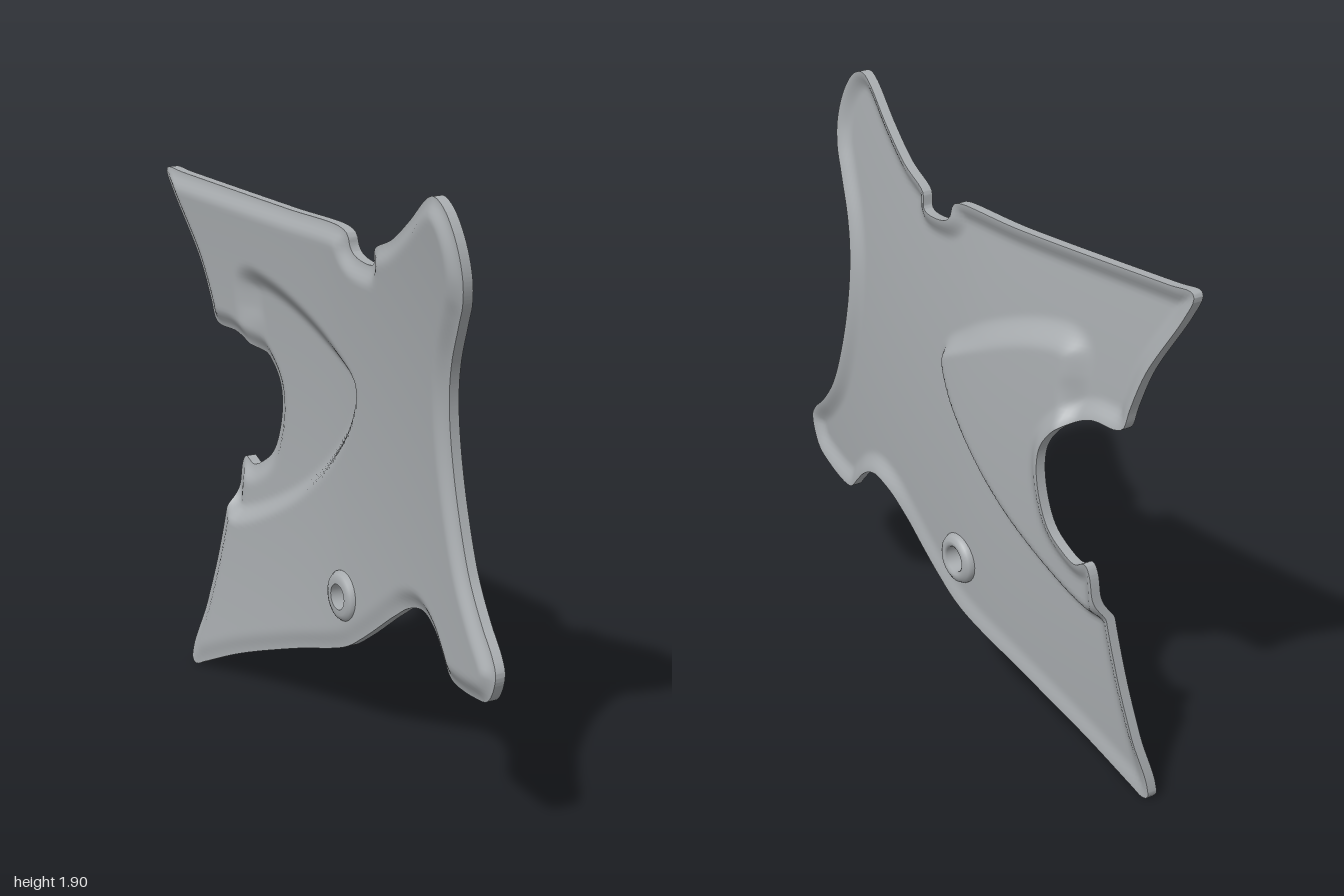
import * as THREE from 'three';
import { mergeVertices } from 'three/addons/utils/BufferGeometryUtils.js';

const THICKNESS = 0.033;
const HOLE = { z: -0.01, y: 0.49, r: 0.045 };
const smooth = THREE.MathUtils.smoothstep;

// Closed smooth loop through [z, y] pairs, returned as evenly spaced points (u = -z, y)
function loop(pairs, count) {
  const pts = pairs.map(([z, y]) => new THREE.Vector3(-z, y, 0));
  const curve = new THREE.CatmullRomCurve3(pts, true, 'centripetal');
  curve.arcLengthDivisions = 3000;
  return curve.getSpacedPoints(count).slice(0, count);
}

// Panel outline
const outline = loop([
  [0.3, 0.52], [0.38, 0.57], [0.47, 0.59], [0.55, 0.56], [0.62, 0.5], [0.67, 0.455], [0.72, 0.445],
  [0.85, 0.455], [0.95, 0.48], [0.99, 0.53], [1, 0.58], [0.97, 0.62], [0.88, 0.69], [0.78, 0.8],
  [0.7, 0.97], [0.655, 1.15], [0.65, 1.3], [0.68, 1.42], [0.75, 1.55], [0.79, 1.62], [0.805, 1.7],
  [0.78, 1.8], [0.72, 1.88], [0.655, 1.905], [0.6, 1.89], [0.45, 1.79], [0.32, 1.71], [0.22, 1.67],
  [0.2, 1.655], [0.19, 1.61], [0.16, 1.6], [0.07, 1.61], [0.045, 1.63], [0.035, 1.67], [0, 1.685],
  [-0.3, 1.69], [-0.9, 1.711], [-0.99, 1.715], [-1, 1.7], [-0.97, 1.63], [-0.85, 1.43], [-0.8, 1.3],
  [-0.78, 1.235], [-0.75, 1.22], [-0.65, 1.215], [-0.56, 1.17], [-0.49, 1.09], [-0.475, 1.02],
  [-0.49, 0.92], [-0.53, 0.83], [-0.59, 0.78], [-0.65, 0.755], [-0.69, 0.775], [-0.71, 0.75],
  [-0.73, 0.62], [-0.78, 0.4], [-0.87, 0.06], [-0.87, 0.01], [-0.845, 0], [-0.8, 0.02],
  [-0.6, 0.11], [-0.3, 0.22], [0, 0.32], [0.1, 0.38],
], 640);

// Raised, rounded triangle that runs out through the rear cutout
const bulge = loop([
  [0.06, 1.2], [-0.05, 1.29], [-0.2, 1.37], [-0.4, 1.44], [-0.53, 1.455], [-0.59, 1.42], [-0.6, 1.33],
  [-0.58, 1.2], [-0.65, 1], [-0.77, 0.78], [-0.74, 0.61], [-0.68, 0.57], [-0.6, 0.585],
  [-0.3, 0.74], [-0.1, 0.91], [0.03, 1.08],
], 120);

// Signed distance to a closed loop, positive inside
function signedDistance(u, y, pts) {
  let best = Infinity, inside = false;
  for (let i = 0, j = pts.length - 1; i < pts.length; j = i++) {
    const a = pts[j], b = pts[i];
    const dx = b.x - a.x, dy = b.y - a.y;
    const t = Math.min(1, Math.max(0, ((u - a.x) * dx + (y - a.y) * dy) / (dx * dx + dy * dy || 1)));
    const ex = u - a.x - t * dx, ey = y - a.y - t * dy;
    best = Math.min(best, ex * ex + ey * ey);
    if ((a.y > y) !== (b.y > y) && u < a.x + (dx * (y - a.y)) / dy) inside = !inside;
  }
  return Math.sqrt(best) * (inside ? 1 : -1);
}

// Outer face height: gentle dome, outward lip along the edge and raised bulge
function height(u, y) {
  const fall = u > 0 ? 0.118 * (Math.sqrt(u * u + 0.04) - 0.2) : 0.105 * u * u;
  const dome = 0.052 - 0.066 * (y - 0.85) ** 2 - fall;
  // The lip is shallower along the sloping bottom edge
  const bottom = (1 - smooth(y + 0.4 * u, 0.4, 0.55)) * smooth(u, -0.45, -0.25);
  const edge = Math.max(0, signedDistance(u, y, outline));
  const lip = 0.027 * (1 - 0.5 * bottom) * (1 - smooth(edge, 0, 0.065));
  const width = 0.045 + 0.035 * smooth(y, 1.15, 1.3);
  return dome + lip + 0.043 * smooth(signedDistance(u, y, bulge), -0.015, width);
}

function toGeometry(positions) {
  const g = new THREE.BufferGeometry();
  g.setAttribute('position', new THREE.Float32BufferAttribute(positions, 3));
  const merged = mergeVertices(g, 1e-5);
  merged.computeVertexNormals();
  return merged;
}

// Clip a fine grid against the outline and hole; make both faces and the rim
function panelGeometries() {
  const n = 150, step = 2.02 / n;
  const grid = [];
  for (let j = 0; j <= n; j++) {
    for (let i = 0; i <= n; i++) {
      const u = -1.01 + i * step, y = -0.01 + j * step;
      const hole = Math.hypot(u + HOLE.z, y - HOLE.y) - HOLE.r;
      grid.push({ u, y, d: Math.min(signedDistance(u, y, outline), hole) });
    }
  }
  const front = [], back = [], rim = [];
  const place = (p) => {
    if (p.x === undefined) p.x = height(p.u, p.y);
    return p;
  };
  const outer = (p) => [place(p).x, p.y, -p.u];
  const inner = (p) => [place(p).x - THICKNESS, p.y, -p.u];
  const clip = (tri) => {
    const poly = [];
    let exit = null, entry = null;
    tri.forEach((a, k) => {
      const b = tri[(k + 1) % 3];
      if (a.d > 0) poly.push(a);
      if ((a.d > 0) !== (b.d > 0)) {
        const t = a.d / (a.d - b.d);
        const c = { u: a.u + (b.u - a.u) * t, y: a.y + (b.y - a.y) * t };
        poly.push(c);
        if (a.d > 0) exit = c; else entry = c;
      }
    });
    for (let k = 1; k + 1 < poly.length; k++) {
      const [a, b, c] = [poly[0], poly[k], poly[k + 1]];
      front.push(...outer(a), ...outer(b), ...outer(c));
      back.push(...inner(a), ...inner(c), ...inner(b));
    }
    if (exit) {
      rim.push(...outer(exit), ...inner(exit), ...inner(entry));
      rim.push(...outer(exit), ...inner(entry), ...outer(entry));
    }
  };
  for (let j = 0; j < n; j++) {
    for (let i = 0; i < n; i++) {
      const a = grid[j * (n + 1) + i], b = grid[j * (n + 1) + i + 1];
      const d = grid[(j + 1) * (n + 1) + i], c = grid[(j + 1) * (n + 1) + i + 1];
      clip([a, b, c]);
      clip([a, c, d]);
    }
  }
  return { panelOuterFace: front, panelInnerFace: back, panelRim: rim };
}

export function createModel() {
  const model = new THREE.Group();
  model.name = 'sidePanel';
  const grey = new THREE.MeshStandardMaterial({ color: 0xa9adb0 });
  grey.name = 'grey';
  grey.side = THREE.DoubleSide;

  for (const [name, positions] of Object.entries(panelGeometries())) {
    const mesh = new THREE.Mesh(toGeometry(positions), grey);
    mesh.name = name;
    model.add(mesh);
  }

  // Rounded grommet lining the mounting hole
  const profile = [
    [0.042, -0.036], [0.06, -0.036], [0.074, -0.03], [0.083, -0.018], [0.083, 0.02],
    [0.076, 0.033], [0.062, 0.042], [0.05, 0.042], [0.042, 0.036], [0.042, -0.036],
  ].map(([r, h]) => new THREE.Vector2(r, h));
  const grommet = new THREE.Mesh(new THREE.LatheGeometry(profile, 40), grey);
  grommet.name = 'mountingGrommet';
  grommet.rotation.z = -Math.PI / 2;
  grommet.position.set(0.027, HOLE.y, HOLE.z);
  model.add(grommet);

  return model;
}
